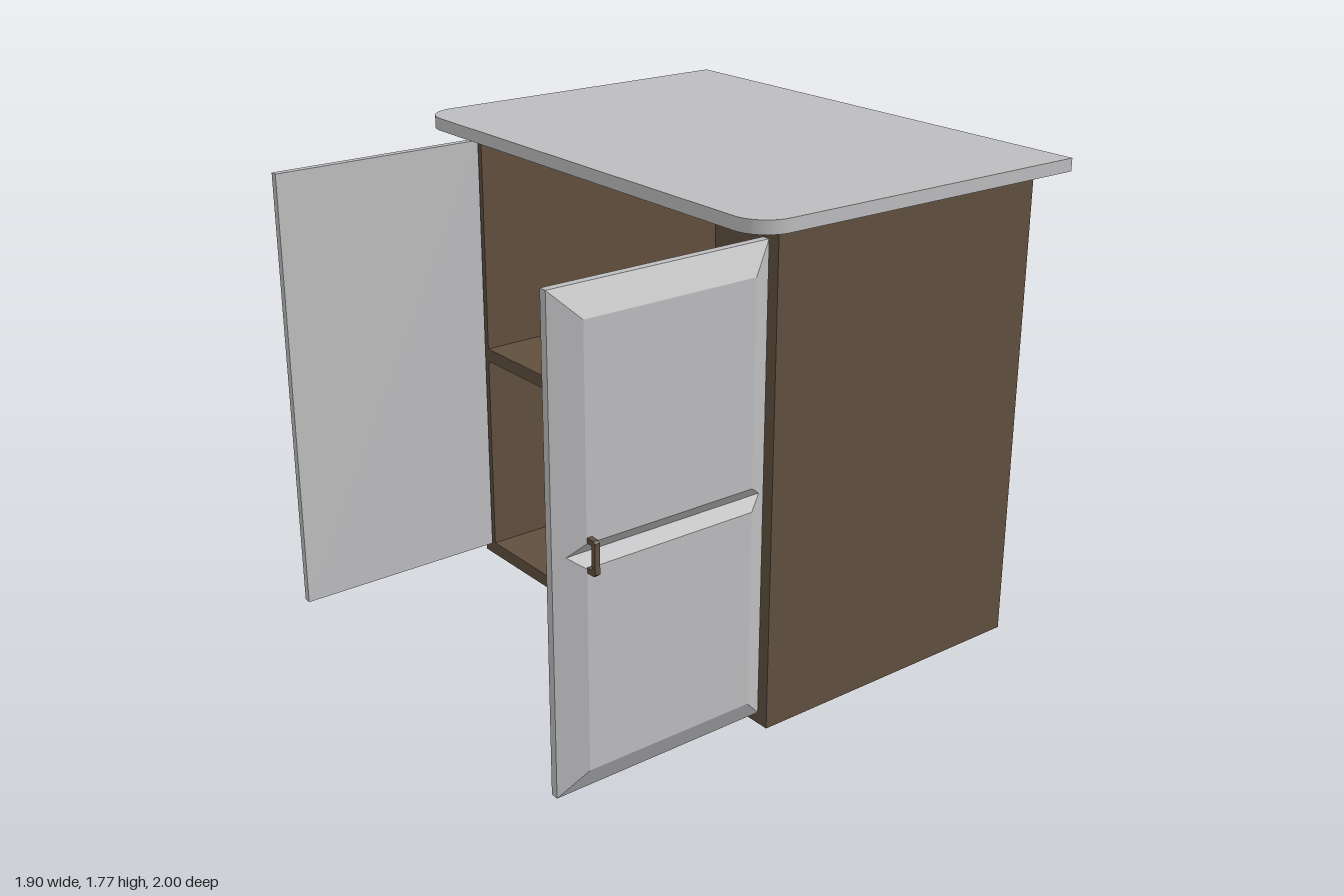
import * as THREE from 'three';

const grey = new THREE.MeshStandardMaterial({ color: 0xbdbdbf });
grey.name = 'greyLaminate';
const brown = new THREE.MeshStandardMaterial({ color: 0x604f3e });
brown.name = 'brownWood';

const MID = -0.0175; // the cabinet sits slightly off centre under its top

function add(parent, name, geometry, material, x = 0, y = 0, z = 0) {
  const mesh = new THREE.Mesh(geometry, material);
  mesh.name = name;
  mesh.position.set(x, y, z);
  parent.add(mesh);
  return mesh;
}

function rectPath(x0, y0, x1, y1, PathType = THREE.Path) {
  return new PathType([[x0, y0], [x1, y0], [x1, y1], [x0, y1]].map(p => new THREE.Vector2(...p)));
}

// Bevelled door face: rows of [height, relief], the sides slope in as the relief grows
function raisedPanel(halfWidth) {
  const rows = [[0.05, 0], [0.14, 0.05], [0.825, 0.05], [0.865, 0.02], [0.905, 0.05], [1.59, 0.05], [1.68, 0]];
  const section = ([y, d]) => {
    const inner = halfWidth - d * 1.8;
    return [[0, y, halfWidth], [d, y, inner], [d, y, -inner], [0, y, -halfWidth]];
  };
  const pos = [];
  for (let i = 0; i < rows.length - 1; i++) {
    const a = section(rows[i]), b = section(rows[i + 1]);
    for (let j = 0; j < 3; j++) {
      // skip the collapsed triangles at the top and bottom corners
      if (j === 1 || rows[i][1] > 0) pos.push(...a[j], ...a[j + 1], ...b[j + 1]);
      if (j === 1 || rows[i + 1][1] > 0) pos.push(...a[j], ...b[j + 1], ...b[j]);
    }
  }
  const g = new THREE.BufferGeometry();
  g.setAttribute('position', new THREE.Float32BufferAttribute(pos, 3));
  g.computeVertexNormals();
  return g;
}

// C-shaped pull with chamfered corners, projecting toward +x
function handleGeometry() {
  const pts = [
    [0, -0.057], [0.06, -0.057], [0.067, -0.05], [0.067, 0.05], [0.06, 0.057], [0, 0.057],
    [0, 0.04], [0.046, 0.04], [0.05, 0.036], [0.05, -0.036], [0.046, -0.04], [0, -0.04]];
  const shape = new THREE.Shape(pts.map(p => new THREE.Vector2(...p)));
  const g = new THREE.ExtrudeGeometry(shape, { depth: 0.018, bevelEnabled: false });
  return g.translate(0, 0, -0.009);
}

// The door is symmetric front to back, so the right one is the left one turned half round
function door(side) {
  const g = new THREE.Group();
  g.name = side > 0 ? 'leftDoor' : 'rightDoor';
  add(g, 'doorSlab', new THREE.BoxGeometry(0.0275, 1.63, 0.81), grey, -0.01375, 0.865, 0);
  add(g, 'doorPanel', raisedPanel(0.405), grey);
  add(g, 'doorHandle', handleGeometry(), brown, 0.022, 0.868, 0.305 * side);
  g.position.set(MID + side * 0.8175, 0, 0.595);
  if (side < 0) g.rotation.y = Math.PI;
  return g;
}

export function createModel() {
  const model = new THREE.Group();
  model.name = 'cabinet';

  // Carcass with two open compartments, leaving the shelf between them
  const front = rectPath(-0.85, 0, 0.85, 1.73, THREE.Shape);
  front.holes.push(rectPath(-0.785, 0.05, 0.785, 0.82), rectPath(-0.785, 0.87, 0.785, 1.68));
  add(model, 'carcass', new THREE.ExtrudeGeometry(front, { depth: 1.12, bevelEnabled: false }), brown, MID, 0, -0.94);
  add(model, 'backPanel', new THREE.BoxGeometry(1.7, 1.73, 0.01), brown, MID, 0.865, -0.945);

  // Countertop: slightly flared at the back, rounded at the front corners
  const top = new THREE.Shape();
  top.moveTo(-0.945, 1);
  top.lineTo(-0.953, -0.21);
  top.absarc(-0.833, -0.21, 0.12, Math.PI, Math.PI * 1.5, false);
  top.lineTo(0.8, -0.33);
  top.absarc(0.8, -0.21, 0.12, -Math.PI / 2, 0, false);
  top.lineTo(0.947, 1);
  top.closePath();
  const topGeo = new THREE.ExtrudeGeometry(top, { depth: 0.045, bevelEnabled: false, curveSegments: 10 });
  topGeo.rotateX(-Math.PI / 2);
  add(model, 'countertop', topGeo, grey, 0, 1.73, 0);

  // Doors standing open
  for (const side of [1, -1]) model.add(door(side));

  return model;
}
